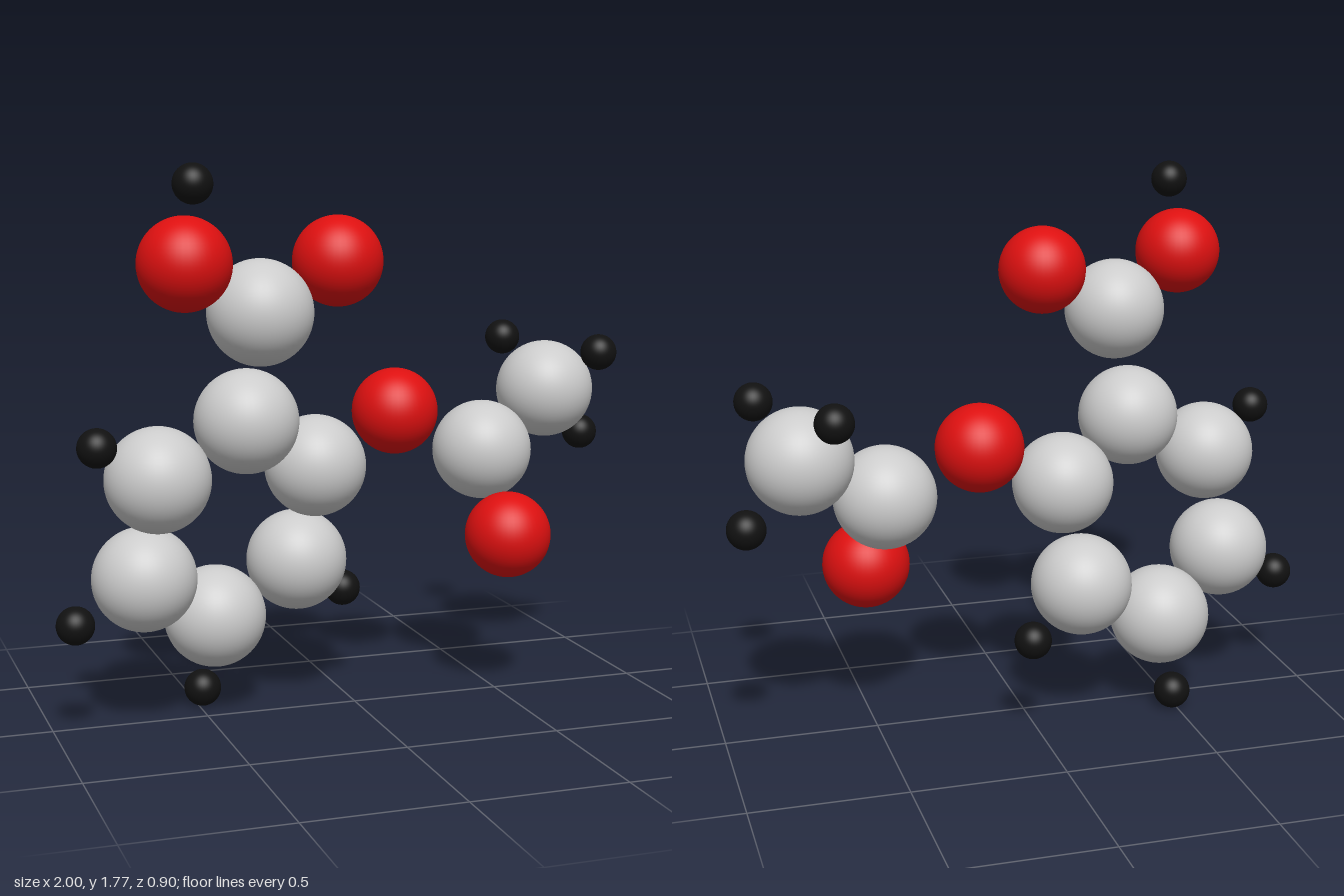
import * as THREE from 'three';

// Atom kinds: radius and colour
const KINDS = {
  carbon: { radius: 0.165, color: 0xcccccc },
  oxygen: { radius: 0.142, color: 0xdd1010 },
  hydrogen: { radius: 0.06, color: 0x111111 },
};

// Atoms of each part of the molecule: name, kind, centre
const PARTS = {
  ring: [
    ['ringCarbonTop', 'carbon', -0.39, 0.97, 0.1],
    ['ringCarbonUpperRight', 'carbon', -0.685, 0.81, 0.15],
    ['ringCarbonLowerRight', 'carbon', -0.715, 0.485, 0.07],
    ['ringCarbonBottom', 'carbon', -0.457, 0.315, -0.06],
    ['ringCarbonLowerLeft', 'carbon', -0.165, 0.47, -0.113],
    ['ringCarbonUpperLeft', 'carbon', -0.125, 0.795, -0.03],
    ['ringHydrogenUpperRight', 'hydrogen', -0.888, 0.933, 0.24],
    ['ringHydrogenLowerRight', 'hydrogen', -0.94, 0.363, 0.105],
    ['ringHydrogenBottom', 'hydrogen', -0.486, 0.06, -0.12],
    ['ringHydrogenLowerLeft', 'hydrogen', 0.029, 0.334, -0.218],
  ],
  acidGroup: [
    ['acidCarbon', 'carbon', -0.365, 1.315, 0.18],
    ['hydroxylOxygen', 'oxygen', -0.63, 1.475, 0.305],
    ['acidOxygen', 'oxygen', -0.105, 1.465, 0.145],
    ['hydroxylHydrogen', 'hydrogen', -0.617, 1.71, 0.365],
  ],
  esterGroup: [
    ['bridgeOxygen', 'oxygen', 0.168, 0.952, -0.085],
    ['esterCarbon', 'carbon', 0.472, 0.81, -0.067],
    ['esterOxygen', 'oxygen', 0.511, 0.543, 0.072],
    ['methylCarbon', 'carbon', 0.757, 0.988, -0.195],
    ['methylHydrogenBack', 'hydrogen', 0.682, 1.15, -0.39],
    ['methylHydrogenFront', 'hydrogen', 0.864, 1.13, 0.003],
    ['methylHydrogenLeft', 'hydrogen', 0.938, 0.815, -0.288],
  ],
};

export function createModel() {
  const model = new THREE.Group();
  model.name = 'molecule';

  // One shared sphere and material per kind
  const shared = {};
  for (const [kind, { radius, color }] of Object.entries(KINDS)) {
    shared[kind] = [
      new THREE.SphereGeometry(radius, 48, 32),
      new THREE.MeshStandardMaterial({ color }),
    ];
  }

  for (const [partName, atoms] of Object.entries(PARTS)) {
    const part = new THREE.Group();
    part.name = partName;
    for (const [name, kind, x, y, z] of atoms) {
      const atom = new THREE.Mesh(...shared[kind]);
      atom.name = name;
      atom.position.set(x, y, z);
      part.add(atom);
    }
    model.add(part);
  }
  return model;
}
